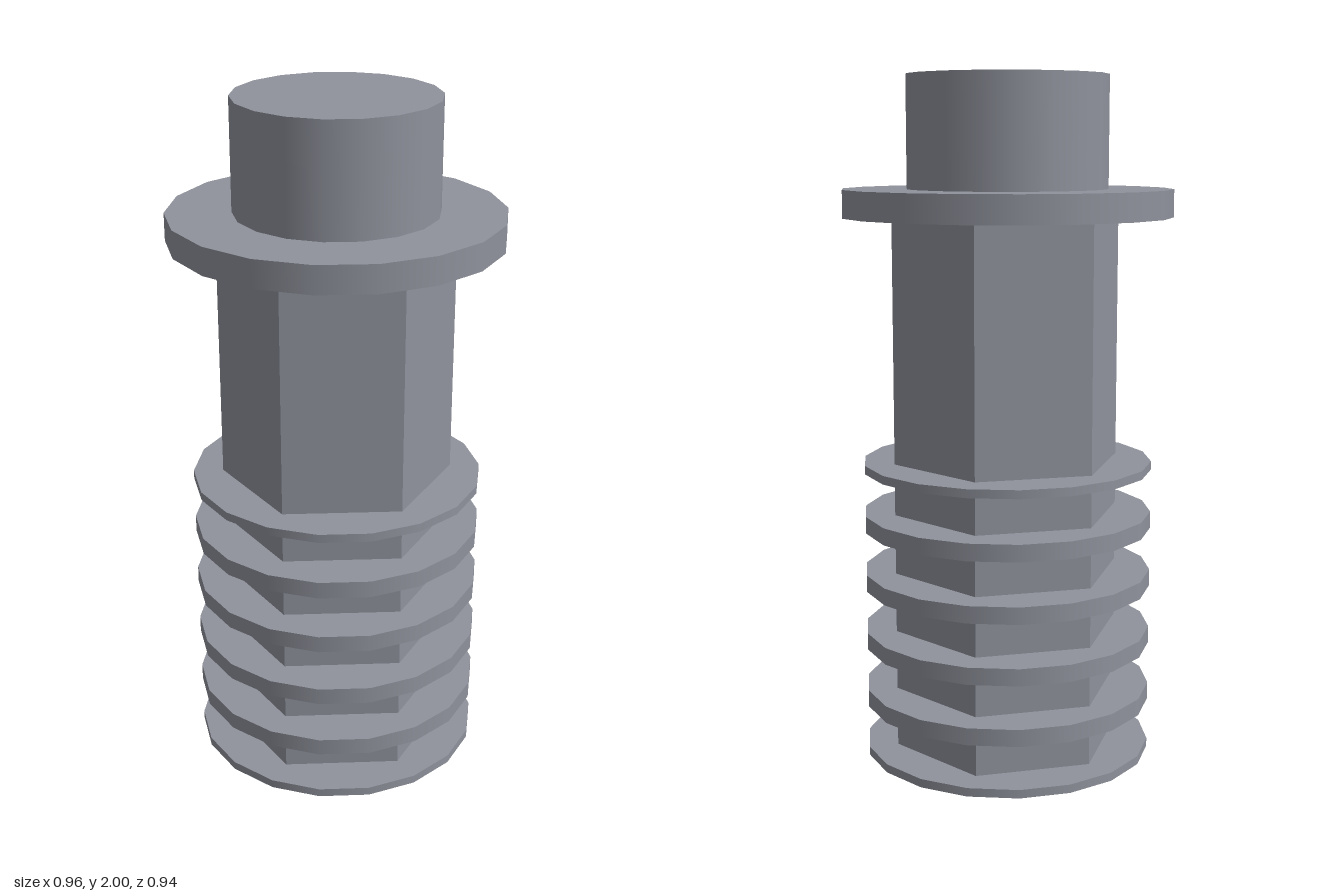
import * as THREE from 'three';

const SIDES = 18;

export function createModel() {
  const model = new THREE.Group();
  const metal = new THREE.MeshStandardMaterial({ color: 0x8f929c });
  metal.name = 'grey metal';

  // Upright prism from y0 to y1, with a corner on the +x axis
  function prism(name, radius, y0, y1, sides = SIDES) {
    let geometry = new THREE.CylinderGeometry(radius, radius, y1 - y0, sides, 1, false, Math.PI / 2);
    if (sides < SIDES) {
      // Flat faces for the angular shaft
      geometry = geometry.toNonIndexed();
      geometry.computeVertexNormals();
    }
    const mesh = new THREE.Mesh(geometry, metal);
    mesh.name = name;
    mesh.position.y = (y0 + y1) / 2;
    model.add(mesh);
  }

  // Hexagonal shaft, collar and round head
  prism('hexShaft', 0.339, 0.01, 1.6, 6);
  prism('collar', 0.479, 1.598, 1.678);
  prism('head', 0.292, 1.678, 2);

  // Evenly spaced rings; the two end rings are half as thick
  const pitch = 0.177, half = 0.025, count = 6;
  const top = pitch * (count - 1);
  for (let i = 0; i < count; i++) {
    const y = i * pitch;
    prism(`ring${i + 1}`, 0.426, Math.max(0, y - half), Math.min(top, y + half));
  }
  return model;
}
